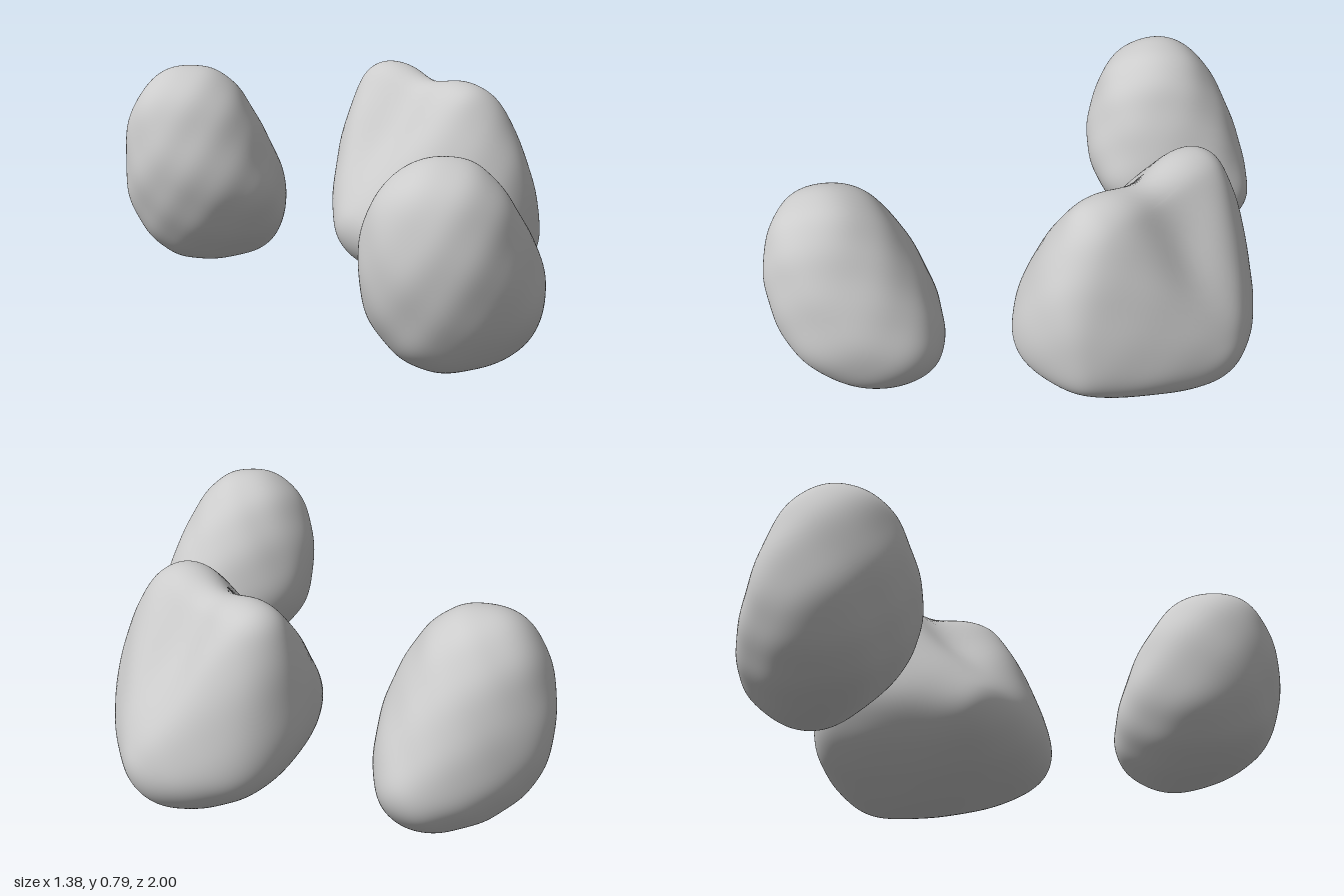
import * as THREE from 'three';
import { mergeVertices } from 'three/addons/utils/BufferGeometryUtils.js';

const stone = new THREE.MeshStandardMaterial({ color: 0xcccccc });

// Soft lumps over the surface
function lumps(p, seed) {
  return Math.sin(15 * p.x + 8 * p.y + seed) * Math.sin(13 * p.y - 11 * p.z + seed)
    + 0.5 * Math.sin(28 * p.z + 12 * p.x - seed) * Math.sin(25 * p.y - 15 * p.x);
}

// A smooth convex skin around a few round lobes [x, y, z, radius]:
// each direction blends the lobes that reach furthest along it
function boulder(name, lobes, roughness, shape = () => {}) {
  const blend = 0.027;
  let geo = new THREE.IcosahedronGeometry(1, 40);
  geo.deleteAttribute('uv');
  geo.deleteAttribute('normal');
  geo = mergeVertices(geo, 1e-5);

  const pos = geo.attributes.position;
  const n = new THREE.Vector3();
  const p = new THREE.Vector3();
  for (let i = 0; i < pos.count; i++) {
    n.fromBufferAttribute(pos, i).normalize();
    const reach = lobes.map(([x, y, z, r]) => n.x * x + n.y * y + n.z * z + r);
    const furthest = Math.max(...reach);
    const weights = reach.map((h) => Math.exp((h - furthest) / blend));
    const total = weights.reduce((a, b) => a + b);
    p.set(0, 0, 0);
    lobes.forEach(([x, y, z], j) => {
      const w = weights[j] / total;
      p.x += w * x;
      p.y += w * y;
      p.z += w * z;
    });
    // push out to the blended reach
    p.addScaledVector(n, furthest + blend * Math.log(total) - p.dot(n));
    p.addScaledVector(n, roughness * lumps(p, lobes.length + lobes[0][0]));
    shape(p);
    pos.setXYZ(i, p.x, p.y, p.z);
  }
  geo.computeVertexNormals();

  const mesh = new THREE.Mesh(geo, stone);
  mesh.name = name;
  return mesh;
}

// Saddle between the two peaks, with a valley running down both flanks
function carveSaddle(p) {
  const across = Math.exp(-(((p.z + 0.03) / 0.13) ** 2));
  const amount = across * THREE.MathUtils.smoothstep(p.y, 0.3, 0.75);
  p.y -= 0.05 * amount;
  p.x += (0.29 - p.x) * 0.2 * amount;
}

export function createModel() {
  const group = new THREE.Group();
  group.name = 'boulders';

  group.add(boulder('frontBoulder', [
    [-0.46, 0.53, 0.74, 0.212], // crown
    [-0.44, 0.40, 0.72, 0.228], // right shoulder
    [-0.37, 0.30, 0.795, 0.195], // front
    [-0.41, 0.30, 0.64, 0.185], // back
    [-0.19, 0.25, 0.70, 0.155], // left toe
    [-0.29, 0.24, 0.72, 0.18], // underside
    [-0.48, 0.26, 0.74, 0.17], // right heel
  ], 0.004));

  group.add(boulder('backBoulder', [
    [-0.265, 0.56, -0.72, 0.217], // crown
    [-0.29, 0.40, -0.68, 0.207], // right shoulder
    [-0.25, 0.34, -0.81, 0.185], // back
    [-0.20, 0.32, -0.56, 0.153], // front
    [0.00, 0.24, -0.75, 0.15], // left toe
    [-0.08, 0.17, -0.69, 0.155], // underside
    [-0.27, 0.23, -0.74, 0.185], // right heel
  ], 0.004));

  group.add(boulder('twinPeakBoulder', [
    [0.27, 0.635, 0.18, 0.13], // front peak
    [0.31, 0.665, -0.235, 0.12], // rear peak
    [0.52, 0.20, -0.05, 0.167], // left toe
    [0.29, 0.42, 0.32, 0.10], // front ridge
    [0.36, 0.21, 0.32, 0.105], // front left corner
    [0.14, 0.21, 0.315, 0.11], // front right corner
    [0.05, 0.24, 0.17, 0.12], // right front flank
    [0.01, 0.26, -0.03, 0.137], // right toe
    [0.27, 0.37, -0.26, 0.145], // back
    [0.41, 0.25, -0.24, 0.145], // back left corner
    [0.40, 0.14, -0.02, 0.125], // underside
    [0.16, 0.17, 0.06, 0.12], // right underside
  ], 0.002, carveSaddle));

  return group;
}
